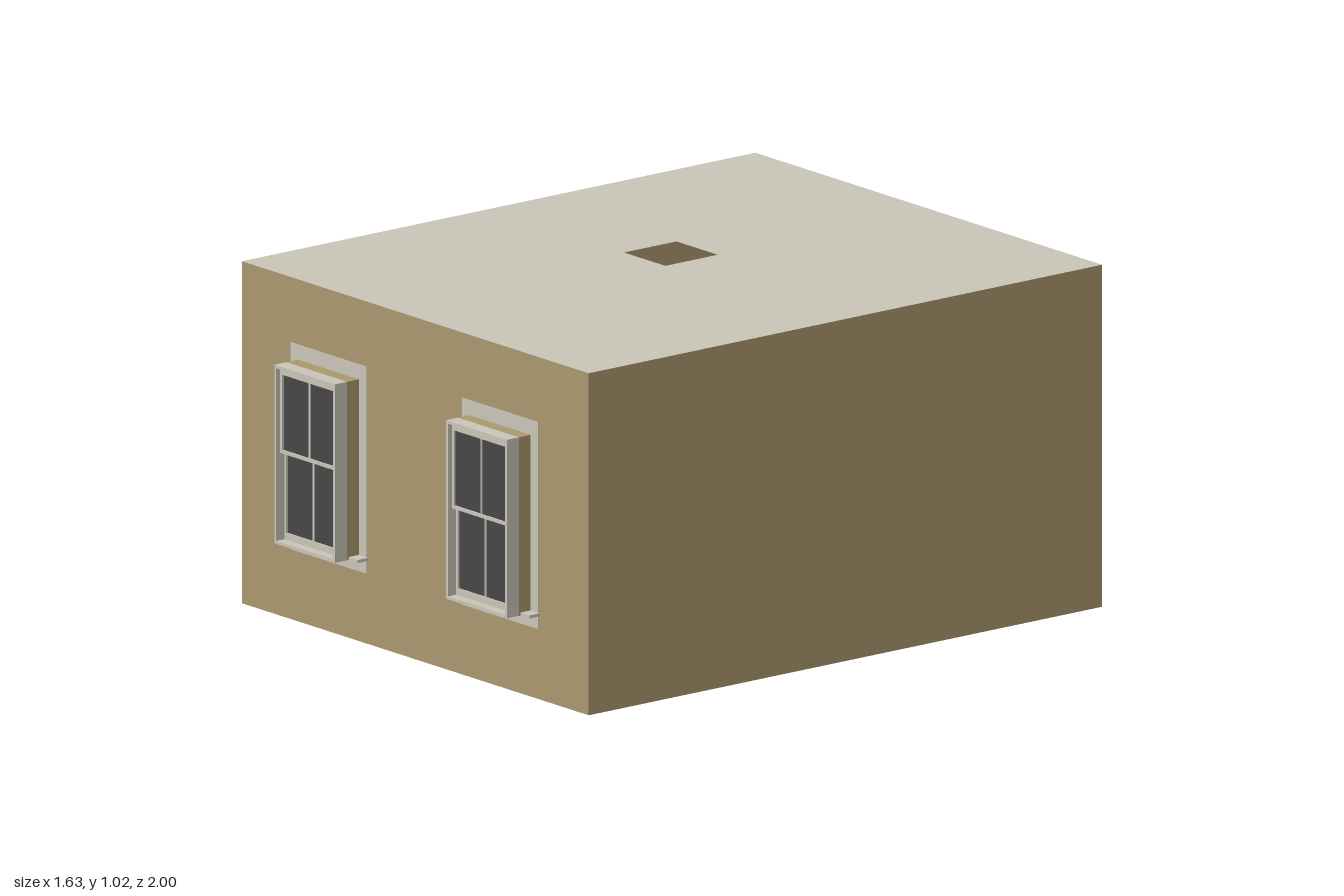
import * as THREE from 'three';

const mat = (color) => new THREE.MeshStandardMaterial({ color, side: THREE.DoubleSide });
const tan = mat(0xae9a70), trim = mat(0xcdc8bb), brown = mat(0x85654e), dark = mat(0x484848);

// Room extents
const X0 = -0.78, X1 = 0.815, Z0 = -1, Z1 = 0.91, H = 1.025;

function add(parent, name, geometry, material) {
  const m = new THREE.Mesh(geometry, material);
  m.name = name;
  parent.add(m);
  return m;
}

// Rectangles are [u0, v0, u1, v1]
function trace(path, [a, b, c, d]) {
  path.moveTo(a, b).lineTo(c, b).lineTo(c, d).lineTo(a, d).lineTo(a, b);
  return path;
}
function sheet(rect, holes = []) {
  const s = trace(new THREE.Shape(), rect);
  s.holes = holes.map((h) => trace(new THREE.Path(), h));
  return s;
}
const panel = (rect, holes) => new THREE.ShapeGeometry(sheet(rect, holes));
const frame = (outer, inner, w0, w1) => new THREE.ExtrudeGeometry(
  sheet(outer, [inner]), { depth: w1 - w0, bevelEnabled: false }).translate(0, 0, w0);
const block = ([a, b, c, d], w0, w1) => new THREE.BoxGeometry(c - a, d - b, w1 - w0)
  .translate((a + c) / 2, (b + d) / 2, (w0 + w1) / 2);

// Sash window; local z = 0 is the wall plane, +z points outdoors
function makeWindow() {
  const g = new THREE.Group();
  g.name = 'window';
  add(g, 'wallReveal', frame([-0.14, 0.25, 0.14, 0.785], [-0.136, 0.254, 0.136, 0.781], 0, 0.045), tan);
  add(g, 'jambBox', frame([-0.14, 0.25, 0.14, 0.785], [-0.131, 0.259, 0.131, 0.776], 0.045, 0.09), trim);

  // Flat casing around the opening
  add(g, 'headCasing', block([-0.175, 0.785, 0.175, 0.83], -0.015, 0.002), trim);
  add(g, 'apron', block([-0.175, 0.21, 0.175, 0.25], -0.015, 0.002), trim);
  for (const s of [-1, 1]) {
    const e = [s * 0.175, s * 0.14].sort((a, b) => a - b);
    add(g, 'sideCasing', block([e[0], 0.25, e[1], 0.785], -0.015, 0.002), trim);
  }
  add(g, 'stool', block([-0.182, 0.25, 0.182, 0.259], -0.03, 0.04), trim);

  // Upper and lower sashes with a middle bar each
  for (const [name, y0, y1, z] of [['lowerSash', 0.259, 0.53, 0.045], ['upperSash', 0.52, 0.776, 0.06]]) {
    add(g, name, frame([-0.131, y0, 0.131, y1],
      [-0.122, y0 + (z < 0.05 ? 0.02 : 0.01), 0.122, y1 - (z < 0.05 ? 0.01 : 0.02)], z, z + 0.015), trim);
    add(g, 'sashBar', block([-0.003, y0, 0.003, y1], z + 0.003, z + 0.013), trim);
    add(g, 'glass', block([-0.123, y0 + 0.005, 0.123, y1 - 0.005], z + 0.006, z + 0.009), dark);
  }
  return g;
}

// Doorway with jambs, header and flat casing, centred on local x = 0
function makeDoorway() {
  const g = new THREE.Group();
  g.name = 'doorway';
  const w = 0.145, top = 0.685;
  for (const s of [-1, 1]) {
    const strip = (a, b) => [Math.min(s * a, s * b), 0, Math.max(s * a, s * b), top];
    add(g, 'reveal', block(strip(w - 0.005, w - 0.001), 0, 0.02), tan);
    add(g, 'jamb', block(strip(w - 0.014, w), 0.02, 0.04), trim);
    add(g, 'sideCasing', block(strip(w, w + 0.035), -0.015, 0.002), trim);
  }
  add(g, 'headReveal', block([-w, top - 0.005, w, top], 0, 0.02), tan);
  add(g, 'headJamb', block([-w, top - 0.014, w, top], 0.02, 0.04), trim);
  add(g, 'headCasing', block([-w - 0.035, top, w + 0.035, top + 0.04], -0.015, 0.002), trim);
  return g;
}

export function createModel() {
  const room = new THREE.Group();
  room.name = 'room';

  // Front wall with two windows
  const front = new THREE.Group();
  front.name = 'frontSide';
  front.position.z = Z1;
  room.add(front);
  const centres = [-0.38, 0.41];
  add(front, 'frontWall', panel([X0, 0, X1, H],
    centres.map((c) => [c - 0.138, 0.252, c + 0.138, 0.783])), tan);
  for (const c of centres) {
    const w = makeWindow();
    w.position.x = c;
    front.add(w);
  }

  // Door wall: local x runs along the room's z, local z points outdoors
  const side = new THREE.Group();
  side.name = 'doorSide';
  side.rotation.y = -Math.PI / 2;
  side.position.x = X0;
  room.add(side);
  const doorZ = 0.425;
  add(side, 'doorWall', panel([Z0, 0, Z1, H],
    [[doorZ - 0.143, 0.002, doorZ + 0.143, 0.683], [0.385, 0.93, 0.475, 0.96]]), tan);
  const door = makeDoorway();
  door.position.x = doorZ;
  side.add(door);
  add(side, 'ventFrame', frame([0.38, 0.925, 0.48, 0.965], [0.388, 0.933, 0.472, 0.957], -0.005, 0.015), tan);

  // Plain walls
  add(room, 'backWall', panel([X0, 0, X1, H]), tan).position.z = Z0;
  const plain = add(room, 'plainWall', panel([Z0, 0, Z1, H]), tan);
  plain.rotation.y = -Math.PI / 2;
  plain.position.x = X1;

  // Floor and ceiling with a square hatch opening
  const plan = [X0, Z0, X1, Z1];
  add(room, 'floor', panel(plan).rotateX(Math.PI / 2), brown);
  add(room, 'ceiling', panel(plan, [[-0.16, -0.205, 0.03, -0.01]])
    .rotateX(Math.PI / 2).translate(0, H, 0), trim);

  // Stepped crown moulding; extrusion depth runs downwards
  for (const [inset, drop] of [[0.05, 0.015], [0.025, 0.045]]) {
    add(room, 'crownMoulding', frame([X0 + 0.002, Z0 + 0.002, X1 - 0.002, Z1 - 0.002],
      [X0 + inset, Z0 + inset, X1 - inset, Z1 - inset], 0.002, drop)
      .rotateX(Math.PI / 2).translate(0, H, 0), trim);
  }

  // Baseboards, broken at the doorway
  const t = 0.015, hb = 0.07, e = 0.002;
  add(room, 'baseboard', block([X0 + e, e, X1 - e, hb], Z1 - t, Z1 - e), trim);
  add(room, 'baseboard', block([X0 + e, e, X1 - e, hb], Z0 + e, Z0 + t), trim);
  add(room, 'baseboard', block([X1 - t, e, X1 - e, hb], Z0 + e, Z1 - e), trim);
  add(room, 'baseboard', block([X0 + e, e, X0 + t, hb], Z0 + e, doorZ - 0.18), trim);
  add(room, 'baseboard', block([X0 + e, e, X0 + t, hb], doorZ + 0.18, Z1 - e), trim);
  return room;
}
